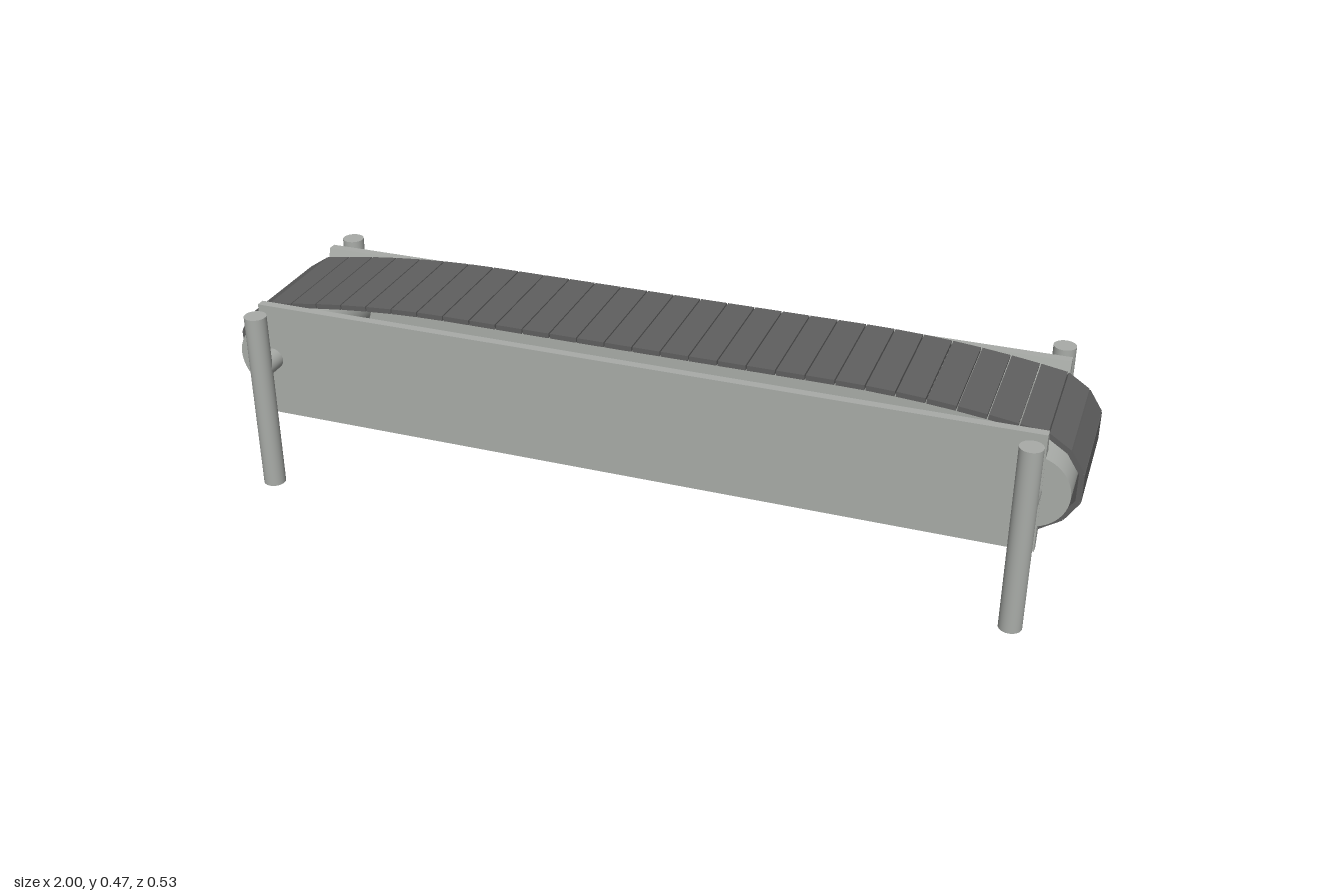
import * as THREE from 'three';

export function createModel() {
  const model = new THREE.Group();
  model.name = 'conveyor';

  const metal = new THREE.MeshStandardMaterial({ color: 0xa9aca8 });
  metal.name = 'grey metal';
  const rubber = new THREE.MeshStandardMaterial({ color: 0x606060 });
  rubber.name = 'dark belt';

  const add = (name, geometry, material, parent = model) => {
    const mesh = new THREE.Mesh(geometry, material);
    mesh.name = name;
    parent.add(mesh);
    return mesh;
  };

  const END_X = 0.895, AXLE_Y = 0.309;

  // Legs, axles and end drums
  const legGeo = new THREE.CylinderGeometry(0.026, 0.026, 0.446, 32);
  const axleGeo = new THREE.CylinderGeometry(0.026, 0.026, 0.478, 32).rotateX(Math.PI / 2);
  const drumGeo = new THREE.CylinderGeometry(0.086, 0.086, 0.366, 48).rotateX(Math.PI / 2);
  for (const sx of [-1, 1]) {
    const side = sx > 0 ? 'left' : 'right';
    for (const sz of [-1, 1]) {
      const leg = add(`${side}${sz > 0 ? 'Front' : 'Back'}Leg`, legGeo, metal);
      leg.position.set(sx * END_X, 0.223, sz * 0.239);
    }
    add(`${side}Axle`, axleGeo, metal).position.set(sx * END_X, AXLE_Y, 0);
    add(`${side}Drum`, drumGeo, metal).position.set(sx * END_X, AXLE_Y, 0);
  }

  // Side panels with bevelled inner edges
  const profile = new THREE.Shape([
    [-0.184, 0.163], [-0.163, 0.163], [-0.147, 0.222],
    [-0.147, 0.394], [-0.163, 0.447], [-0.184, 0.447],
  ].map(([z, y]) => new THREE.Vector2(z, y)));
  const panelGeo = new THREE.ExtrudeGeometry(profile, { depth: 1.84, bevelEnabled: false });
  panelGeo.translate(0, 0, -0.92);
  for (const s of [-1, 1]) {
    add(s > 0 ? 'frontPanel' : 'backPanel', panelGeo, metal).rotation.y = s * Math.PI / 2;
  }

  // Outline of the belt: gently crowned runs with rounded ends
  const quarter = [];
  for (let i = 0; i <= 14; i++) {
    const x = 0.0658 * i - (i === 14 ? 0.004 : 0);
    quarter.push([x, 0.160 - 0.19 * Math.max(0, x - 0.45) ** 2]);
  }
  quarter.push([0.968, 0.085], [1, 0.035]);
  const top = [...quarter.slice(1).reverse().map(([x, y]) => [-x, y]), ...quarter];
  const outline = [...top, ...top.map(([x, y]) => [-x, -y])];

  // One slat for every edge of the outline
  const belt = new THREE.Group();
  belt.name = 'belt';
  model.add(belt);
  const THICK = 0.012;
  outline.forEach(([ax, ay], i) => {
    const [bx, by] = outline[(i + 1) % outline.length];
    const dx = bx - ax, dy = by - ay, len = Math.hypot(dx, dy);
    const slat = add('slat', new THREE.BoxGeometry(len - 0.003, THICK, 0.285), rubber, belt);
    slat.position.set(
      (ax + bx) / 2 + (dy / len) * THICK / 2,
      0.312 + (ay + by) / 2 - (dx / len) * THICK / 2, 0);
    slat.rotation.z = Math.atan2(dy, dx);
  });

  return model;
}
